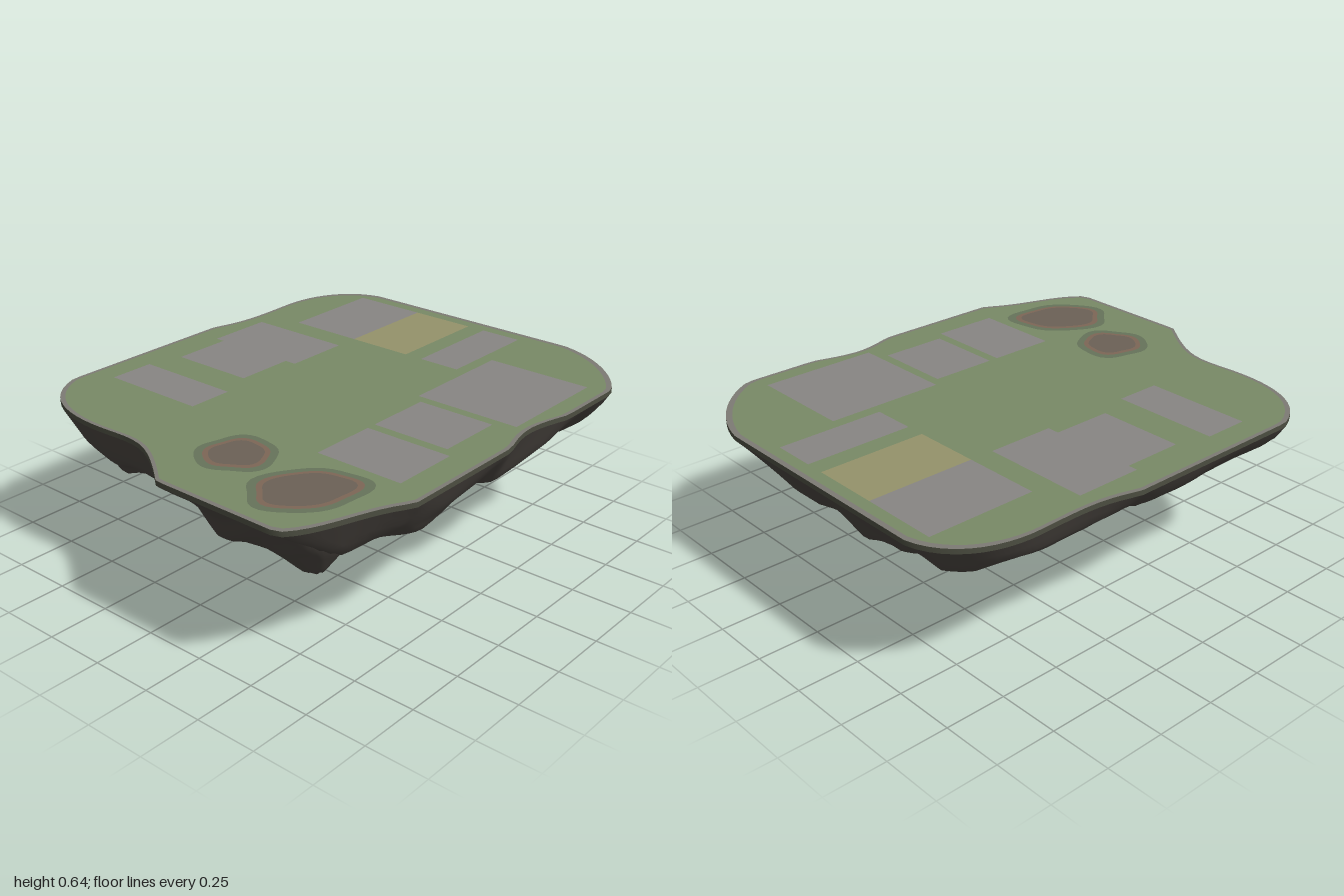
import * as THREE from 'three';
import { mergeVertices } from 'three/addons/utils/BufferGeometryUtils.js';

const TOP = 0.64, LIP = 0.02, CENTRE = [0, 0.1];

// Lowest height of the rock along x and along z, as [position, height] pairs
const ALONG_X = [[-0.85, 0.62], [-0.78, 0.52], [-0.7, 0.45], [-0.6, 0.41], [-0.5, 0.39], [-0.44, 0.33],
  [-0.35, 0.31], [-0.25, 0.23], [-0.17, 0.08], [-0.1, 0.12], [0, 0.09], [0.07, 0.05], [0.11, 0], [0.17, 0],
  [0.25, 0.09], [0.33, 0.23], [0.48, 0.33], [0.6, 0.34], [0.7, 0.4], [0.78, 0.5], [0.85, 0.62]];
const ALONG_Z = [[-1, 0.62], [-0.92, 0.5], [-0.85, 0.39], [-0.8, 0.36], [-0.65, 0.33], [-0.5, 0.28],
  [-0.42, 0.24], [-0.36, 0.17], [-0.2, 0.16], [0, 0.18], [0.05, 0.15], [0.1, 0.04], [0.22, 0.03],
  [0.3, 0], [0.4, 0.07], [0.5, 0.13], [0.6, 0.24], [0.7, 0.38], [0.85, 0.5], [1, 0.62]];

function sample(table, v) {
  if (v <= table[0][0]) return table[0][1];
  for (let i = 1; i < table.length; i++) {
    const [a, ya] = table[i - 1], [b, yb] = table[i];
    if (v <= b) return ya + (yb - ya) * (v - a) / (b - a);
  }
  return table[table.length - 1][1];
}

// Craggy variation between about -1 and 1
function crags(x, z) {
  const a = Math.sin(9 * x + 4 * z + 2 * Math.sin(5 * z)) * Math.cos(10 * z - 3 * x);
  const b = 1 - 2 * Math.abs(Math.sin(8 * x - 7 * z + 1.5 * Math.sin(6 * x + 2)));
  return 0.6 * a + 0.4 * b;
}

// Depth of the rock under (x, z); t is 1 at the rim and 0 in the middle
function depthAt(x, z, t) {
  const inner = Math.min(1, (1 - t) * 4);
  const u = x + 0.04 * inner * Math.sin(11 * z + 1);
  const w = z + 0.04 * inner * Math.sin(12 * x + 4);
  const dx = TOP - sample(ALONG_X, u), dz = TOP - sample(ALONG_Z, w);
  const body = 0.65 * Math.min(dx, dz) + 0.35 * dx * dz / TOP;
  const rugged = body * (1 + 0.17 * inner * crags(x, z));
  return Math.max(LIP, Math.min(rugged, LIP + 1.8 * (1 - t)));
}

// Outline of the island as (x, z)
function islandOutline() {
  const s = new THREE.Shape();
  s.moveTo(-0.56, -1);
  s.lineTo(0.45, -1);
  s.bezierCurveTo(0.62, -0.97, 0.78, -0.84, 0.845, -0.7);
  s.lineTo(0.845, -0.38);
  s.bezierCurveTo(0.79, -0.2, 0.79, -0.16, 0.845, 0);
  s.lineTo(0.845, 0.56);
  s.bezierCurveTo(0.74, 0.7, 0.74, 0.9, 0.63, 1);
  s.lineTo(0.08, 1);
  s.bezierCurveTo(-0.15, 0.82, -0.2, 0.82, -0.35, 0.83);
  s.bezierCurveTo(-0.6, 0.85, -0.78, 0.78, -0.845, 0.59);
  s.lineTo(-0.845, -0.2);
  s.bezierCurveTo(-0.79, -0.35, -0.8, -0.45, -0.805, -0.65);
  s.bezierCurveTo(-0.8, -0.85, -0.7, -0.97, -0.56, -1);
  return s.getSpacedPoints(150);
}

// Surface through closed loops of points, listed from the outside inwards
function loft(loops) {
  const n = loops[0].length, index = [];
  for (let i = 0; i < loops.length - 1; i++) {
    for (let j = 0; j < n - 1; j++) {
      const a = i * n + j, c = a + n;
      index.push(a, a + 1, c, a + 1, c + 1, c);
    }
  }
  const g = new THREE.BufferGeometry();
  g.setAttribute('position', new THREE.Float32BufferAttribute(loops.flat(2), 3));
  g.setIndex(index);
  const merged = mergeVertices(g, 1e-5);
  merged.computeVertexNormals();
  return merged;
}

// Level sheet facing up, from (x, z) points
function sheet(points, y) {
  const g = new THREE.ShapeGeometry(new THREE.Shape(points.map(([x, z]) => new THREE.Vector2(x, -z))));
  return g.rotateX(-Math.PI / 2).translate(0, y, 0);
}

// Irregular round blob of (x, z) points
function blob(cx, cz, rx, rz, lean) {
  return Array.from({ length: 40 }, (_, i) => {
    const a = i / 40 * Math.PI * 2;
    const k = 1 + 0.05 * Math.sin(3 * a + cx * 9) + 0.04 * Math.sin(5 * a);
    const dz = rz * k * Math.sin(a);
    return [cx + rx * k * Math.cos(a) - lean * dz, cz + dz];
  });
}

export function createModel() {
  const model = new THREE.Group();
  const add = (name, geometry, color) => {
    const mesh = new THREE.Mesh(geometry, new THREE.MeshStandardMaterial({ color }));
    mesh.name = name;
    model.add(mesh);
  };
  const outline = islandOutline();
  const ring = (t, y) => outline.map((p) => [
    CENTRE[0] + (p.x - CENTRE[0]) * t, y, CENTRE[1] + (p.y - CENTRE[1]) * t]);

  // Rocky underside, scaled so the lowest peak touches the ground
  const RINGS = 42, loops = [];
  for (let i = 0; i <= RINGS; i++) {
    const t = 1 - i / RINGS;
    loops.push(ring(t, 0).map(([x, , z]) => [x, depthAt(x, z, t), z]));
  }
  const deepest = Math.max(...loops.flat().map((p) => p[1]));
  for (const p of loops.flat()) {
    p[1] = TOP - LIP - (p[1] - LIP) * (TOP - LIP) / (deepest - LIP);
  }
  add('rockUnderside', loft(loops), 0x4a4540);

  // Thin lip around the edge and the grass on top
  add('edgeLip', loft([ring(1, TOP), ring(1, TOP - LIP)]), 0x4b4d40);
  add('edgeBorder', sheet(ring(1, 0).slice(0, -1).map(([x, , z]) => [x, z]), TOP - 0.001), 0x7d7b74);
  add('grass', sheet(ring(0.98, 0).slice(0, -1).map(([x, , z]) => [x, z]), TOP), 0x788a66);

  // Building plots: x0, x1, z0, z1
  const plots = [[-0.6, -0.28, -0.93, -0.48], [0.08, 0.26, -0.93, -0.48], [0.31, 0.76, -0.66, -0.16],
    [0.35, 0.68, -0.12, 0.16], [0.35, 0.72, 0.2, 0.48], [-0.73, -0.28, -0.38, -0.1],
    [-0.69, -0.33, -0.1, 0.15], [-0.73, -0.28, 0.29, 0.48]];
  const plot = ([x0, x1, z0, z1]) => sheet([[x0, z0], [x1, z0], [x1, z1], [x0, z1]], TOP + 0.001);
  plots.forEach((p) => add('stonePlot', plot(p), 0x888583));
  add('fieldPlot', plot([-0.28, 0, -0.93, -0.48]), 0x94926a);

  // Bare earth pits with a darker grass fringe and a reddish rim
  for (const [x, z, rx, rz, lean] of [[0.14, 0.67, 0.12, 0.12, 0], [0.51, 0.72, 0.145, 0.17, 0.25]]) {
    add('pitFringe', sheet(blob(x, z, rx + 0.03, rz + 0.03, lean), TOP + 0.001), 0x66735a);
    add('pitRim', sheet(blob(x, z, rx, rz, lean), TOP + 0.002), 0x7d6656);
    add('pitFloor', sheet(blob(x, z, rx - 0.02, rz - 0.02, lean), TOP + 0.003), 0x6c6156);
  }
  return model;
}
